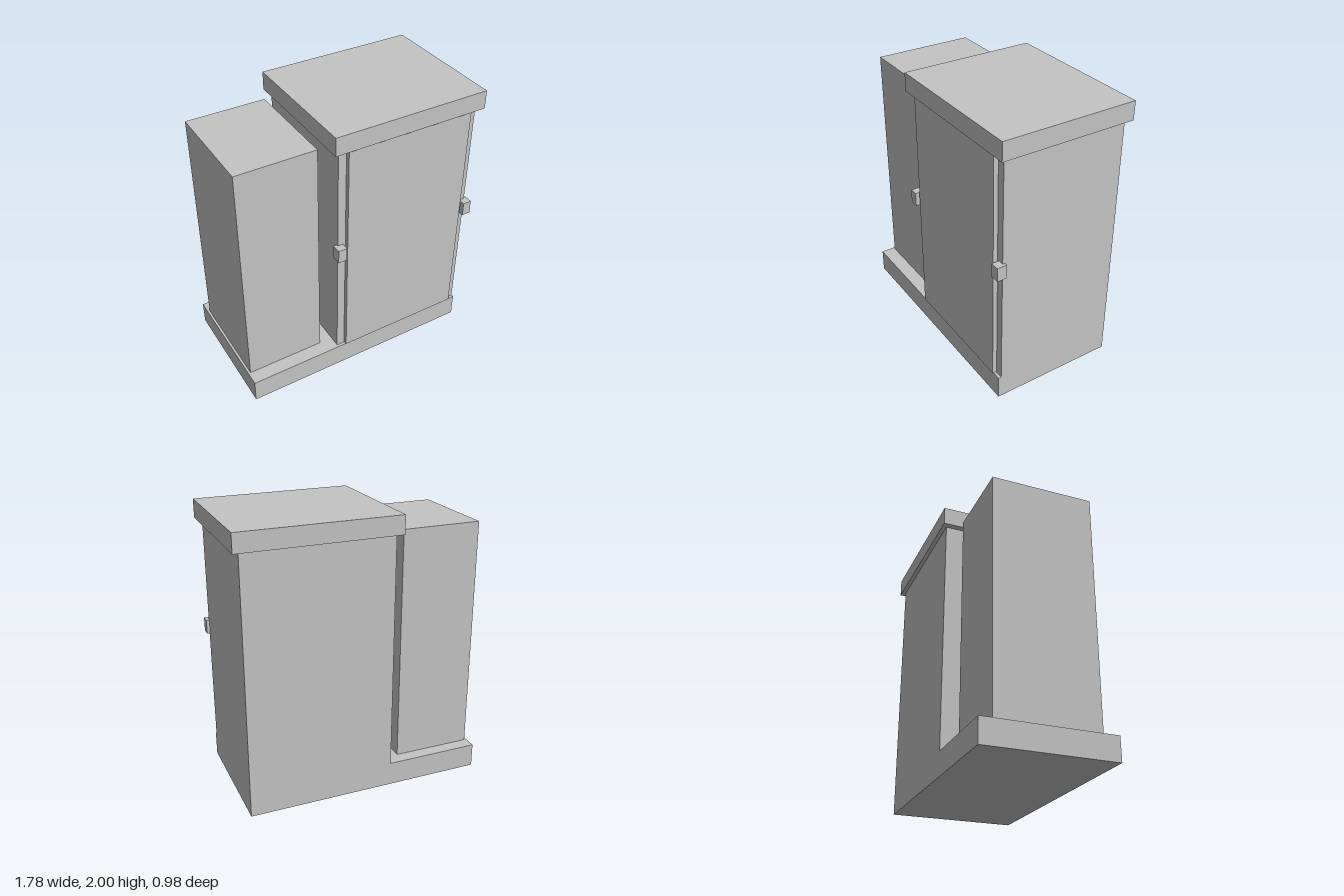
import * as THREE from 'three';

const grey = new THREE.MeshStandardMaterial({ color: 0xc4c4c4 });
grey.name = 'plain grey';

// Box given by its extents along each axis
function block(name, [x0, x1], [y0, y1], [z0, z1]) {
  const mesh = new THREE.Mesh(new THREE.BoxGeometry(x1 - x0, y1 - y0, z1 - z0), grey);
  mesh.position.set((x0 + x1) / 2, (y0 + y1) / 2, (z0 + z1) / 2);
  mesh.name = name;
  return mesh;
}

export function createModel() {
  const model = new THREE.Group();
  model.name = 'cabinet';
  const baseTop = 0.172, bodyTop = 1.868;

  // Plinth under both units
  model.add(block('base', [-0.89, 0.845], [0, baseTop], [-0.459, 0.458]));

  // Narrow side unit
  model.add(block('sideUnit', [-0.873, -0.304], [baseTop, bodyTop], [-0.366, 0.354]));

  // Main cabinet with its overhanging lid and raised door
  model.add(block('cabinetBody', [-0.206, 0.845], [baseTop, bodyTop], [-0.459, 0.437]));
  model.add(block('lid', [-0.249, 0.889], [bodyTop, 2], [-0.49, 0.479]));
  model.add(block('door', [-0.148, 0.788], [0.18, 1.86], [0.43, 0.469]));

  // Latches on the two front corners
  for (const [name, x] of [['rightLatch', -0.198], ['leftLatch', 0.835]]) {
    model.add(block(name, [x - 0.032, x + 0.032], [1.021, 1.122], [0.421, 0.49]));
  }
  return model;
}
